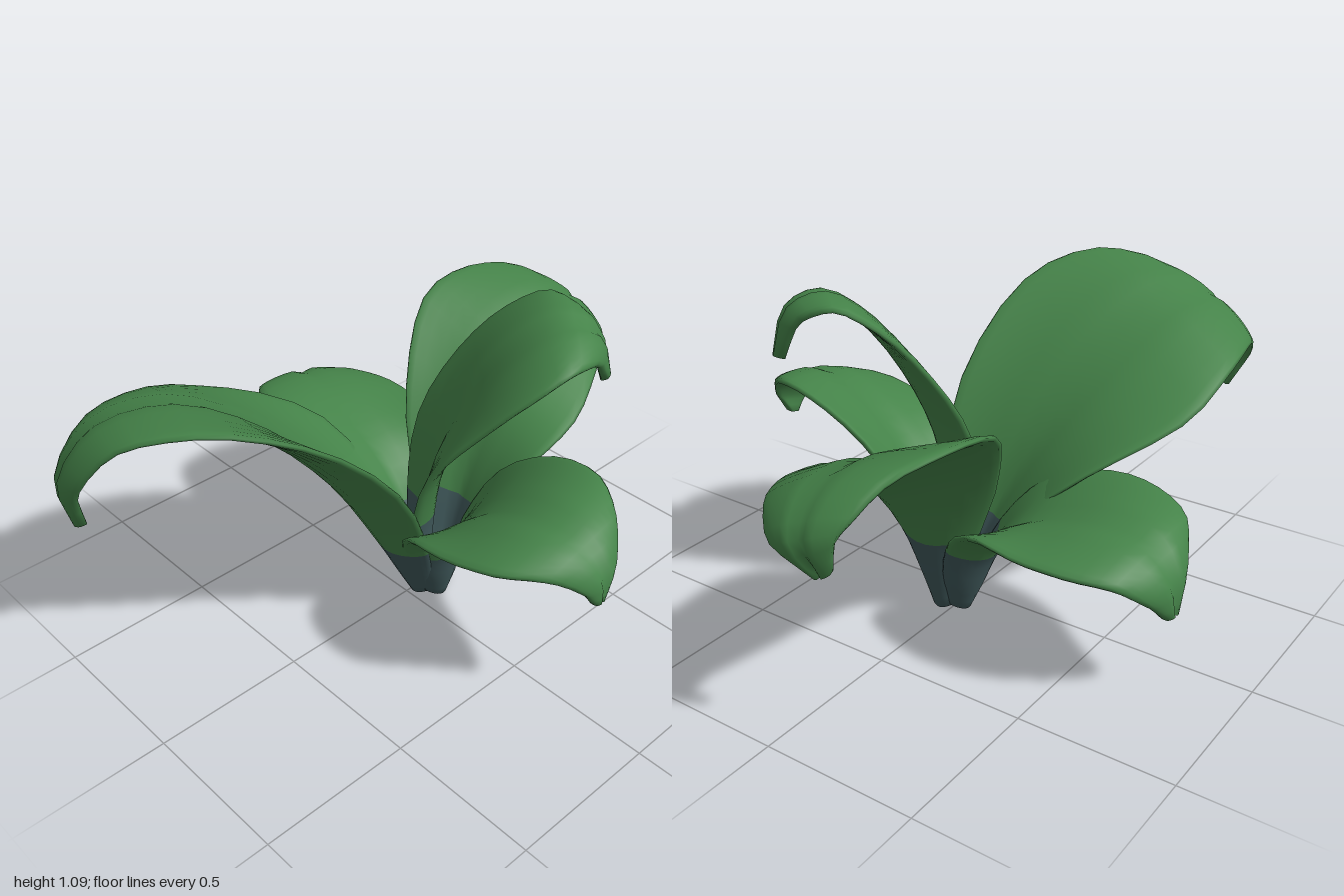
import * as THREE from 'three';

const green = new THREE.MeshStandardMaterial({ color: 0x458349 });
green.name = 'leafGreen';
const teal = new THREE.MeshStandardMaterial({ color: 0x40595b });
teal.name = 'stalkTeal';

const STEPS = 3;   // rows between two stations
const AROUND = 28; // points around one cross-section
const CUT = 2;     // station where the teal foot turns into green blade

// Curl of the edges along the blade: wrapped at the foot, drooping at the tip
const CUPS = [0.7, 0.6, 0.5, 0.34, 0.1, -0.06, -0.13, -0.2, -0.2];

// One leaf: stations are [x, y, z, halfWidth] along the midrib, from foot to tip
function makeLeaf(name, heading, slope, stations) {
  const n = stations.length - 1;
  const midrib = new THREE.CatmullRomCurve3(stations.map(s => new THREE.Vector3(s[0], s[1], s[2])));
  const form = new THREE.CatmullRomCurve3(
    stations.map((s, i) => new THREE.Vector3(s[3], CUPS[i], i)));
  const h = new THREE.Vector2(...heading).normalize();
  const rows = n * STEPS;
  const pos = [], index = [];

  // Closed rings; the first and last collapse to a point to cap the ends
  for (let r = -1; r <= rows + 1; r++) {
    const t = THREE.MathUtils.clamp(r / rows, 0, 1);
    const size = r < 0 || r > rows ? 0 : 1;
    const p = midrib.getPoint(t);
    const f = form.getPoint(t);
    const tangent = midrib.getTangent(t);
    const tilt = slope * THREE.MathUtils.smoothstep(t, 0.2, 0.55);
    const side = new THREE.Vector3(-h.y, tilt, h.x);
    const normal = side.clone().cross(tangent).normalize();
    const w = Math.max(f.x, 0.012);
    const thick = THREE.MathUtils.lerp(0.025, 0.018, Math.min(t * 2, 1));
    for (let j = 0; j < AROUND; j++) {
      const a = j / AROUND * Math.PI * 2;
      const s = -Math.cos(a);
      const rim = Math.sign(Math.sin(a)) * Math.sqrt(Math.abs(Math.sin(a))); // blunt edges
      const vein = j === AROUND / 4 ? 0.012 : 0; // midrib groove
      const lift = f.y * w * s * s + thick * rim - vein;
      const v = p.clone()
        .addScaledVector(side, s * w * size)
        .addScaledVector(normal, lift * size);
      pos.push(v.x, v.y, v.z);
    }
  }
  for (let r = 0; r < rows + 2; r++) {
    for (let j = 0; j < AROUND; j++) {
      const k = (j + 1) % AROUND;
      const a = r * AROUND + j, b = r * AROUND + k;
      const c = a + AROUND, d = b + AROUND;
      index.push(a, b, c, b, d, c);
    }
  }

  const geo = new THREE.BufferGeometry();
  geo.setAttribute('position', new THREE.Float32BufferAttribute(pos, 3));
  geo.setIndex(index);
  geo.computeVertexNormals();
  const cut = (CUT * STEPS + 1) * AROUND * 6;
  geo.addGroup(0, cut, 0);
  geo.addGroup(cut, index.length - cut, 1);
  const leaf = new THREE.Mesh(geo, [teal, green]);
  leaf.name = name;
  return leaf;
}

export function createModel() {
  const plant = new THREE.Group();
  plant.name = 'leafyPlant';

  plant.add(
    // Broad leaf arching to the right
    makeLeaf('largeRightLeaf', [-0.95, -0.34], -0.35, [
      [0.035, 0.025, 0.02, 0.05], [-0.02, 0.13, 0.01, 0.1], [-0.085, 0.27, -0.02, 0.18],
      [-0.215, 0.53, -0.11, 0.33], [-0.42, 0.77, -0.215, 0.4], [-0.65, 0.91, -0.31, 0.34],
      [-0.85, 0.89, -0.385, 0.23], [-0.965, 0.74, -0.42, 0.13], [-0.935, 0.57, -0.42, 0.04]]),

    // Long leaf arching to the left
    makeLeaf('longLeftLeaf', [0.98, -0.12], -0.4, [
      [0.14, 0.025, 0.03, 0.05], [0.185, 0.15, 0.02, 0.09], [0.24, 0.31, 0.01, 0.15],
      [0.345, 0.52, -0.02, 0.26], [0.49, 0.69, -0.07, 0.32], [0.69, 0.785, -0.1, 0.275],
      [0.87, 0.785, -0.12, 0.19], [0.975, 0.7, -0.15, 0.11], [0.935, 0.59, -0.18, 0.03]]),

    // Small leaf drooping to the front
    makeLeaf('frontLeaf', [0, 1], -0.25, [
      [0.07, 0.035, 0.085, 0.05], [0.06, 0.13, 0.12, 0.09], [0.04, 0.26, 0.16, 0.14],
      [0.02, 0.44, 0.26, 0.21], [0, 0.58, 0.42, 0.25], [-0.01, 0.65, 0.59, 0.23],
      [0, 0.63, 0.72, 0.15], [0.01, 0.55, 0.785, 0.075], [0, 0.475, 0.79, 0.02]]),

    // Small leaf drooping to the back
    makeLeaf('backLeaf', [0.1, -1], -0.18, [
      [0.1, 0.02, -0.025, 0.05], [0.11, 0.12, -0.075, 0.09], [0.12, 0.26, -0.14, 0.14],
      [0.13, 0.39, -0.26, 0.21], [0.145, 0.47, -0.43, 0.255], [0.16, 0.505, -0.59, 0.245],
      [0.17, 0.485, -0.73, 0.19], [0.18, 0.4, -0.795, 0.11], [0.17, 0.295, -0.8, 0.03]]),

    // Upright inner leaf with a hooked tip
    makeLeaf('innerLeaf', [0.78, 0.64], -0.2, [
      [0.07, 0.03, 0.03, 0.04], [0.06, 0.18, 0.03, 0.07], [0.06, 0.36, 0.04, 0.11],
      [0.08, 0.6, 0.075, 0.17], [0.135, 0.81, 0.15, 0.21], [0.205, 0.98, 0.25, 0.22],
      [0.3, 1.065, 0.34, 0.19], [0.385, 1.03, 0.4, 0.12], [0.425, 0.89, 0.42, 0.03]])
  );
  return plant;
}
